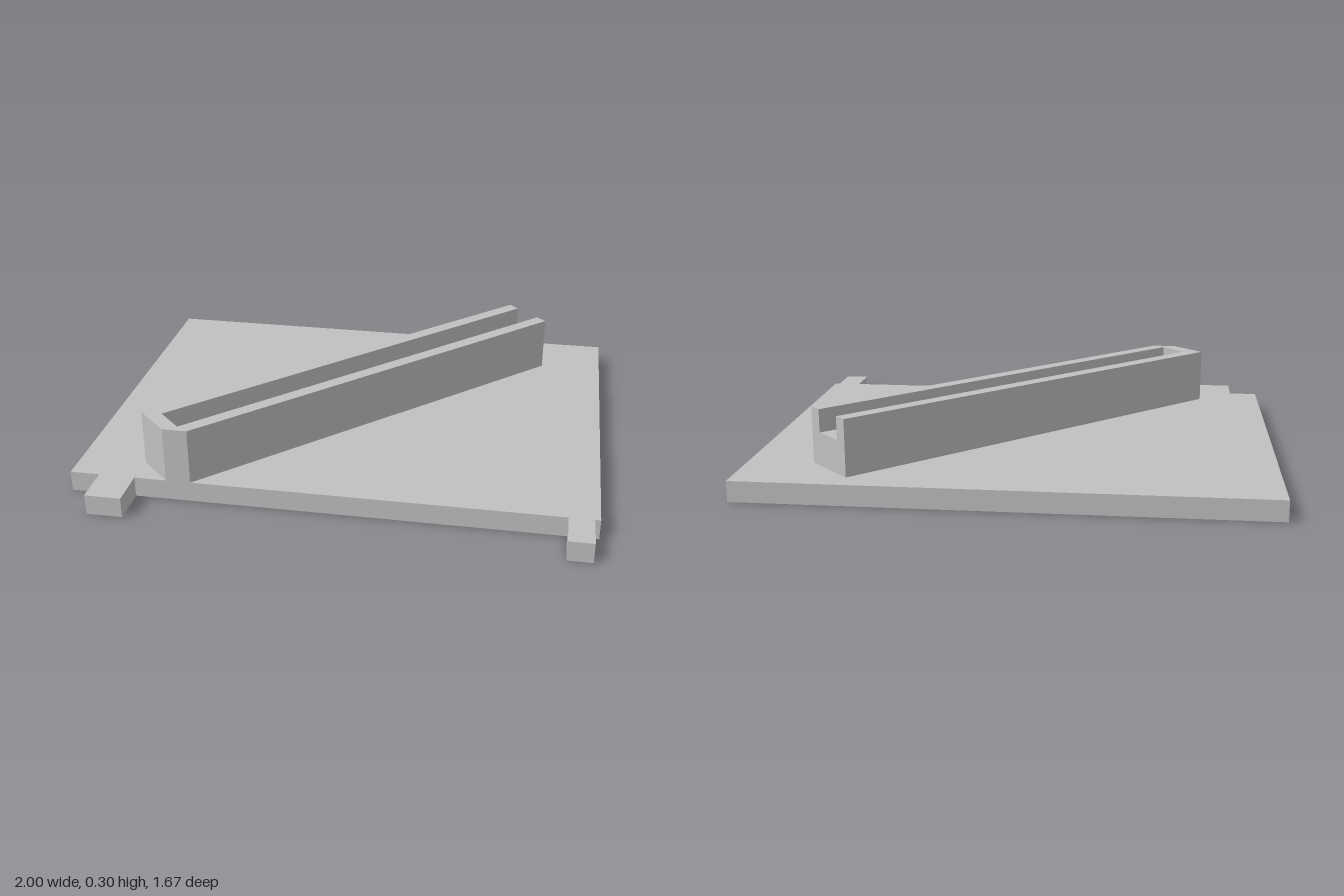
import * as THREE from 'three';

// Extrudes a plan outline of [x, z] points upward from y0 to y1
function prism(name, outline, y0, y1, material) {
  const shape = new THREE.Shape(outline.map(([x, z]) => new THREE.Vector2(x, -z)));
  const geometry = new THREE.ExtrudeGeometry(shape, { depth: y1 - y0, bevelEnabled: false });
  geometry.rotateX(-Math.PI / 2).translate(0, y0, 0);
  const mesh = new THREE.Mesh(geometry, material);
  mesh.name = name;
  return mesh;
}

export function createModel() {
  const group = new THREE.Group();
  group.name = 'slottedRailPlate';
  const grey = new THREE.MeshStandardMaterial({ color: 0xc0c0c0 });
  grey.name = 'grey';

  // Base plate with two tabs on its front edge
  const back = -0.84, front = 0.68, tabEnd = 0.835;
  group.add(prism('basePlate', [
    [-1, back], [-1, front],
    [-0.885, front], [-0.885, tabEnd], [-0.745, tabEnd], [-0.745, front],
    [0.885, front], [0.885, tabEnd], [0.98, tabEnd], [0.98, front],
    [1, front], [1, back],
  ], 0, 0.08, grey));

  // Diagonal rail, its near corner cut flush with the plate
  const backCorner = [0.58, -0.755], endCorner = [0.745, -0.59];
  const nearEnd = [[-0.74, 0.56], [-0.62, front], [-0.525, front]];
  group.add(prism('railBody', [backCorner, ...nearEnd, endCorner], 0.08, 0.21, grey));

  // Upper walls around the groove, which is open at the far end
  group.add(prism('railWalls', [
    backCorner, ...nearEnd, endCorner,
    [0.7075, -0.6275], [-0.57, 0.65], [-0.66, 0.56], [0.6175, -0.7175],
  ], 0.21, 0.3, grey));

  return group;
}
